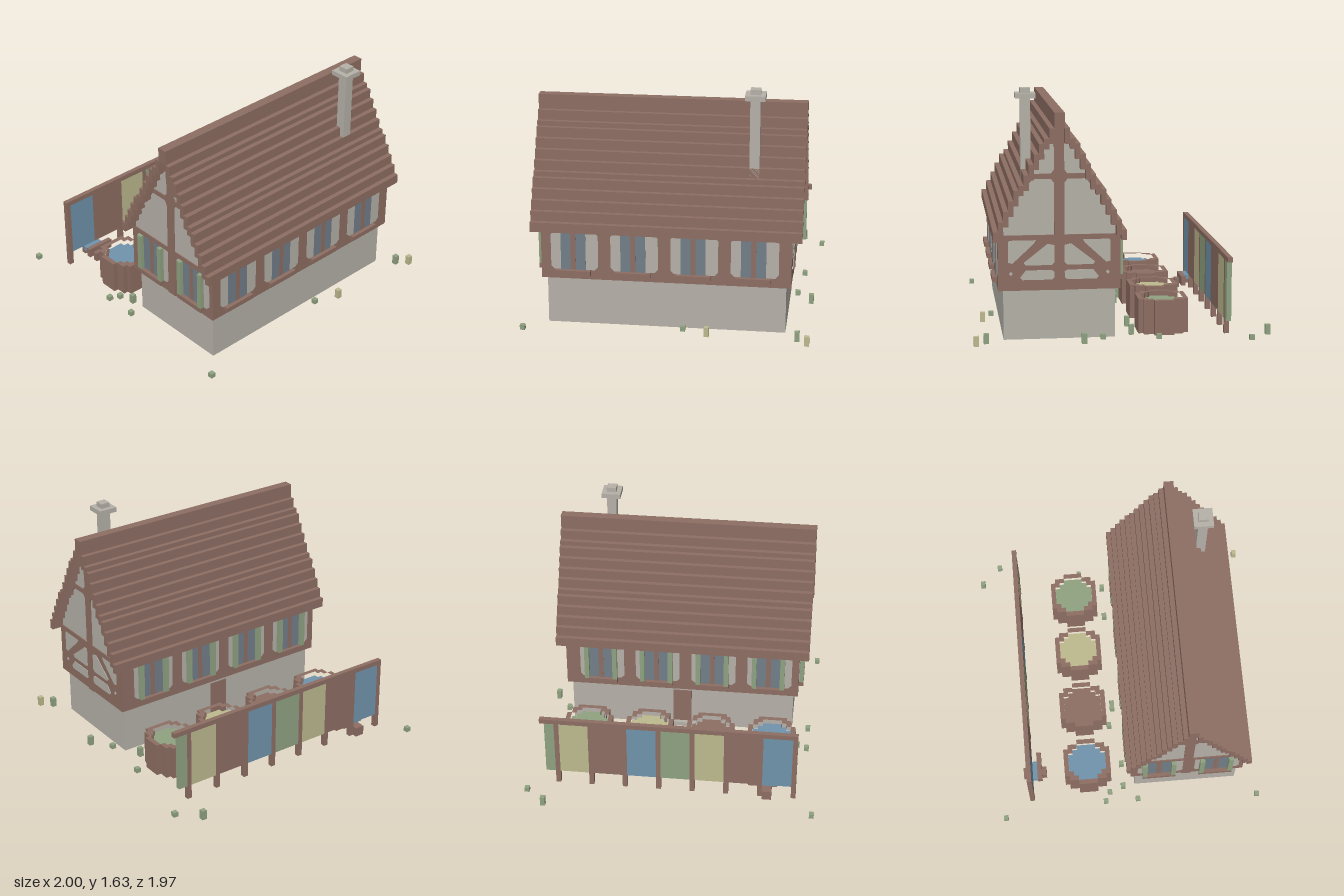
import * as THREE from 'three';

const U = 1 / 30; // one block

const mat = (name, color, side = THREE.FrontSide) => {
  const m = new THREE.MeshStandardMaterial({ color, side });
  m.name = name;
  return m;
};

export function createModel() {
  const wood = mat('wood', 0x8d6e63);
  const plaster = mat('plaster', 0xb5b1a8, THREE.DoubleSide);
  const glass = mat('glass', 0x727e88);
  const blue = mat('blue dye', 0x7093ab);
  const yellow = mat('yellow dye', 0xbdb98e);
  const green = mat('green dye', 0x8fa280);

  // Everything is laid out in whole blocks, then scaled
  const root = new THREE.Group();
  root.name = 'dyersHouse';
  const model = new THREE.Group();
  model.name = 'blocks';
  model.scale.setScalar(U);
  model.position.z = -U / 2;
  root.add(model);

  const group = (name, parent = model) => {
    const g = new THREE.Group();
    g.name = name;
    parent.add(g);
    return g;
  };
  const add = (parent, name, geo, m) => {
    const mesh = new THREE.Mesh(geo, m);
    mesh.name = name;
    parent.add(mesh);
    return mesh;
  };
  const box = (parent, name, m, x0, x1, y0, y1, z0, z1) => {
    const mesh = add(parent, name, new THREE.BoxGeometry(x1 - x0, y1 - y0, z1 - z0), m);
    mesh.position.set((x0 + x1) / 2, (y0 + y1) / 2, (z0 + z1) / 2);
    return mesh;
  };
  const poly = (pts) => new THREE.Shape(pts.map(([x, y]) => new THREE.Vector2(x, y)));
  const plate = (parent, name, m, shape, depth = 0.12) =>
    add(parent, name, new THREE.ExtrudeGeometry(shape, { depth, bevelEnabled: false }), m);
  // Rectangle with cut corners
  const chamfered = (x0, x1, y0, y1, c) => poly([
    [x0 + c, y0], [x1 - c, y0], [x1, y0 + c], [x1, y1 - c],
    [x1 - c, y1], [x0 + c, y1], [x0, y1 - c], [x0, y0 + c]]);

  // Ground floor: walls and ceiling, open underneath
  const house = group('house');
  const baseGeo = new THREE.BoxGeometry(48, 9.98, 22);
  const idx = Array.from(baseGeo.index.array);
  baseGeo.setIndex([...idx.slice(0, 18), ...idx.slice(24)]);
  baseGeo.clearGroups();
  add(house, 'groundFloor', baseGeo, plaster).position.set(0, 4.99, 13);

  // Timber upper floor
  box(house, 'upperFloor', wood, -25, 25, 10, 20, 1, 25);

  // Back door and step
  box(house, 'doorStep', plaster, -3, 3, 0, 1, 1, 2);
  box(house, 'door', wood, -2, 2, 1, 9, 1.8, 2);

  // Stepped roof over stepped gable wall
  const tops = [22, 24, 26, 28, 30, 31, 33, 35, 37, 39, 40, 42];
  const roof = group('roof');
  tops.forEach((top, i) => {
    const low = i ? tops[i - 1] : 20;
    const bottom = i ? low - 1 : 20;
    box(roof, 'roofCourseBack', wood, -27, 27, bottom, top, i, i + 1);
    box(roof, 'roofCourseFront', wood, -27, 27, bottom, top, 25 - i, 26 - i);
    box(house, 'gableWall', plaster, -25, 25, low, top, i + 1, 25 - i);
  });
  box(roof, 'ridge', wood, -27, 27, 42, 45, 12, 14);

  // Chimney
  const chimney = group('chimney');
  box(chimney, 'chimneyStack', plaster, 16, 18, 31, 49, 18, 20);
  box(chimney, 'chimneyCap', plaster, 15, 19, 47, 48, 17, 21);

  // Gable timbers on both ends
  for (const s of [-1, 1]) {
    const g = group(s > 0 ? 'leftGable' : 'rightGable');
    g.position.set(25 * s, 0, 13);
    g.rotation.y = s * Math.PI / 2;
    box(g, 'gablePost', wood, -1, 1, 10, 42, 0, 0.2);
    box(g, 'gableBeam', wood, -6, 6, 32, 33, 0, 0.2);
    box(g, 'gableSillBeam', wood, -12, 12, 20, 21, 0, 0.2);
    for (const m of [-1, 1]) {
      // small knee pieces where the beam meets post and roof
      const up = (pts) => poly(pts.map(([x, y]) => [x * m, y]));
      plate(g, 'kneeBrace', wood, up([[1, 33.8], [1, 31.2], [2, 32.4]]), 0.2);
      plate(g, 'kneeBrace', wood, up([[6, 33], [4.6, 32.6], [6, 31]]), 0.2);
      if (s < 0) continue;
      // plaster fields between the braces
      plate(g, 'plasterField', plaster, up([[10, 19.7], [9.6, 20], [4.6, 20], [5, 19.3], [9.2, 15.4], [10, 15.6]]));
      plate(g, 'plasterField', plaster, up([[1, 18.9], [2.3, 19.2], [7, 15.5], [6.6, 15], [1.5, 15], [1, 15.5]]));
      plate(g, 'plasterField', plaster, up([[1, 12.5], [1.5, 12.1], [7.3, 12.1], [7.7, 12.6], [6.6, 14], [1.5, 14], [1, 13.6]]));
      plate(g, 'plasterField', plaster, up([[9.1, 13.4], [9.5, 13], [9.9, 13.4], [9.5, 13.8]]));
    }
  }

  // Window bay, facing +z of its own group
  const windowBay = (name, x, z, turn, shutters) => {
    const g = group(name);
    g.position.set(x, 0, z);
    g.rotation.y = turn;
    plate(g, 'bayPlaster', plaster, chamfered(-4.5, 5, 12, 20, 0.7), 0.1);
    box(g, 'mullion', wood, -0.5, 0.5, 12, 20, 0, 0.25);
    box(g, 'sill', wood, -3.5, 3.5, 11, 12, 0, 1);
    for (const s of [-1, 1]) {
      box(g, 'pane', glass, s * 1.5 - 1, s * 1.5 + 1, 12, 20, 0, 0.18);
      if (shutters) box(g, 'shutter', green, s * 3 - 0.5, s * 3 + 0.5, 12, 20, 0, 1);
    }
  };
  for (let k = 0; k < 4; k++) {
    windowBay('frontWindow', -18.5 + 12 * k, 25, 0, false);
    windowBay('backWindow', -18.5 + 12 * k, 1, Math.PI, true);
  }
  for (const z of [7, 19]) windowBay('sideWindow', -25, z, -Math.PI / 2, true);

  // Drying rack with cloths
  const rack = group('dryingRack');
  box(rack, 'topRail', wood, -26, 27, 15, 16, -21, -20);
  const cloths = [blue, wood, yellow, green];
  for (let k = 0; k < 8; k++) {
    const x = -26 + 7 * k;
    box(rack, 'rackPost', wood, x, x + 1, 0, 15, -21, -20);
    box(rack, 'cloth', cloths[k % 4], x + 1, Math.min(x + 7, 26), 3, 15, -21, -20);
  }

  // Dye vats: stepped round tubs
  const stepped = (half) => {
    const q = half.concat(half.slice().reverse().map(([x, y]) => [x, -y]));
    return q.concat(q.slice().reverse().map(([x, y]) => [-x, y]));
  };
  const outer = stepped([[3, 5], [3, 4], [4, 4], [4, 2], [5, 2]]);
  const inner = stepped([[2, 4], [2, 3], [3, 3], [3, 2], [4, 2]]);
  const flat = (parent, name, m, shape, depth, y) => {
    const mesh = plate(parent, name, m, shape, depth);
    mesh.rotation.x = -Math.PI / 2;
    mesh.position.y = y;
  };
  cloths.forEach((dye, k) => {
    const vat = group('dyeVat');
    vat.position.set(-20 + 13 * k, 0, -8);
    const wall = poly(outer);
    wall.holes.push(poly(inner));
    flat(vat, 'vatWall', wood, wall, 7, 0);
    flat(vat, 'vatFloor', wood, poly(inner), 1, 0);
    flat(vat, 'dyeSurface', dye, poly(inner), 1, 5);
  });

  // Low work bench with a folded cloth
  const bench = group('workBench');
  box(bench, 'benchFoot', wood, -21, -19, 0, 2, -22, -21);
  box(bench, 'benchFoot', wood, -21, -19, 0, 2, -18, -17);
  box(bench, 'benchBeam', wood, -21, -19, 1, 2, -21, -18);
  box(bench, 'benchPlank', wood, -22, -16, 1, 3, -19, -18);
  box(bench, 'foldedCloth', blue, -22, -18, 2, 3, -20, -19);

  // Grass tufts and flowers: x, z, height, width
  const tufts = [
    [-30, -27, 1], [25, -29, 2], [29, -25, 1], [-28, -5, 1], [-26, -4, 1],
    [-25, -1, 2], [-20, -1, 2], [-28, 2, 1], [-11, -3, 2], [-7, -2, 2, 2],
    [15, -2, 2], [22, -2, 2], [26, -7, 1], [28, 8, 2], [25, 4, 1],
    [-29, 28, 1], [26, 27, 2], [3, 25, 1]];
  const plants = group('plants');
  for (const [x, z, h, w = 1] of tufts) box(plants, 'grassTuft', green, x, x + w, 0, h, z, z + 1);
  for (const [x, z] of [[8, 27], [28, 29]]) box(plants, 'flower', yellow, x, x + 1, 0, 2, z, z + 1);

  return root;
}
